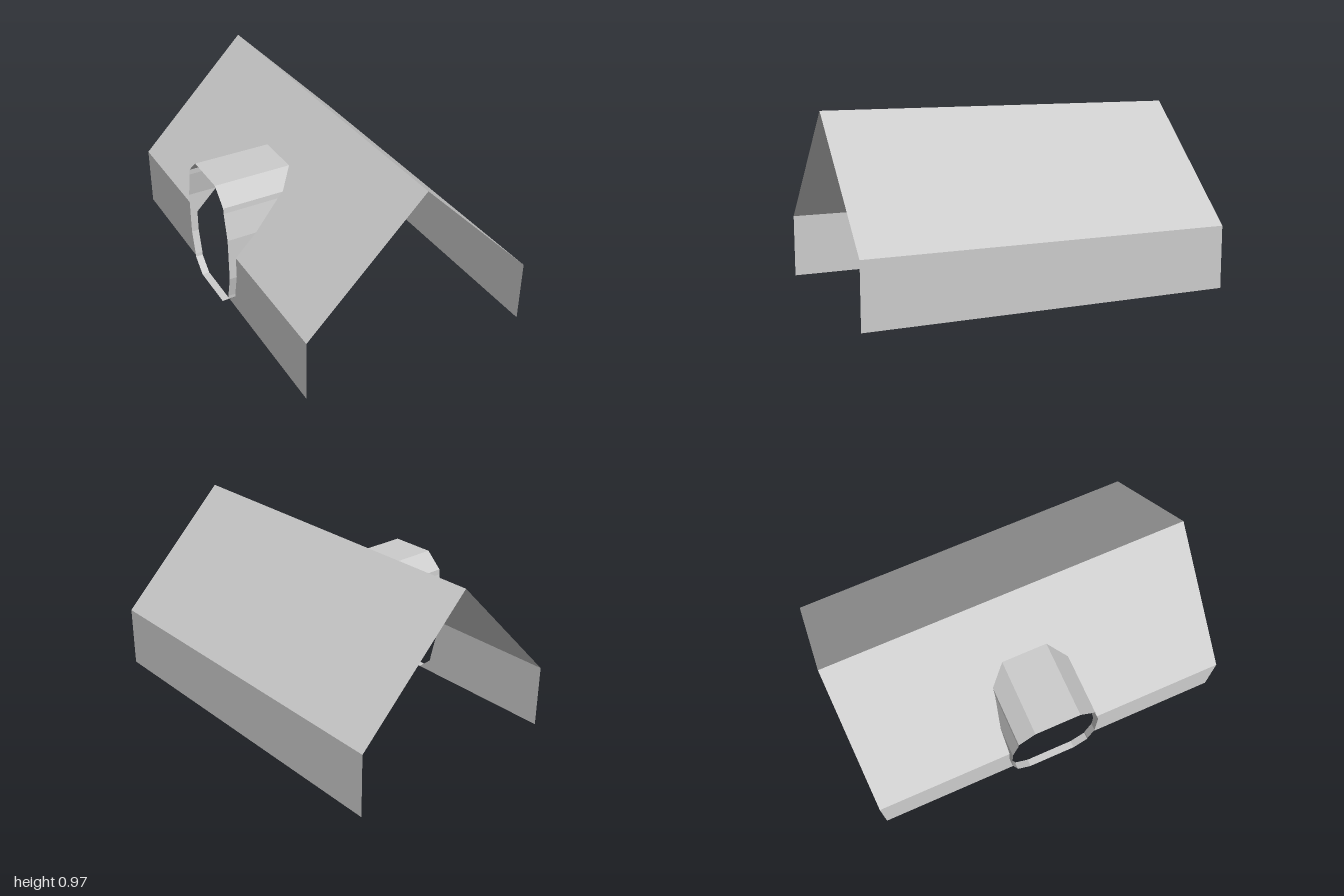
import * as THREE from 'three';

const EAVE_Y = 0.34, RIDGE_Y = 0.97, RIDGE_X = 0.015;
const LEFT_X = 0.64, RIGHT_X = -0.61, MOUTH_X = -0.65;

// Half outline of the round opening as [z, y], top to bottom
const HALF = [
  [0.125, 0.72], [0.215, 0.635], [0.217, 0.605], [0.248, 0.46], [0.248, EAVE_Y],
  [0.248, 0.22], [0.217, 0.09], [0.215, 0.07], [0.135, 0],
];
const Z0 = -0.004;
const plusSide = HALF.map(([z, y]) => [Z0 + z, y]);
const minusSide = HALF.map(([z, y]) => [Z0 - z, y]);
const EAVE_I = 4;

// x of the shell at height y: upright wall, then sloped roof up to the ridge
function shellX(y, wallX) {
  const t = Math.max(0, (y - EAVE_Y) / (RIDGE_Y - EAVE_Y));
  return wallX + (RIDGE_X - wallX) * t;
}

export function createModel() {
  const group = new THREE.Group();
  const grey = new THREE.MeshStandardMaterial({ color: 0xcccccc, side: THREE.DoubleSide, flatShading: true });
  grey.name = 'plain grey';

  // Flat panel outlined in (z, y) and laid onto one side of the shell
  function panel(name, outline, wallX) {
    const shape = new THREE.Shape(outline.map(([z, y]) => new THREE.Vector2(z, y)));
    const geo = new THREE.ShapeGeometry(shape);
    const pos = geo.attributes.position;
    for (let i = 0; i < pos.count; i++) {
      const z = pos.getX(i), y = pos.getY(i);
      pos.setXYZ(i, shellX(y, wallX), y, z);
    }
    // Face outwards on the -x side
    if (wallX < 0) {
      const idx = geo.index.array;
      for (let i = 0; i < idx.length; i += 3) [idx[i], idx[i + 1]] = [idx[i + 1], idx[i]];
    }
    // Panels are wound by the sign of their outward side
    geo.index.array.reverse();
    geo.computeVertexNormals();
    const mesh = new THREE.Mesh(geo, grey);
    mesh.name = name;
    group.add(mesh);
  }

  // Plain side
  panel('leftWall', [[-1, 0], [1, 0], [1, EAVE_Y], [-1, EAVE_Y]], LEFT_X);
  panel('leftRoof', [[-1, EAVE_Y], [1, EAVE_Y], [1, RIDGE_Y], [-1, RIDGE_Y]], LEFT_X);

  // Side cut by the opening
  const low = (side) => side.slice(EAVE_I);
  panel('rightWallFront', [[1, 0], [1, EAVE_Y], ...low(plusSide)], RIGHT_X);
  panel('rightWallBack', [[-1, 0], [-1, EAVE_Y], ...low(minusSide)], RIGHT_X);
  panel('rightRoof', [
    [-1, EAVE_Y], ...minusSide.slice(0, EAVE_I + 1).reverse(),
    ...plusSide.slice(0, EAVE_I + 1), [1, EAVE_Y], [1, RIDGE_Y], [-1, RIDGE_Y],
  ], RIGHT_X);

  // Faceted tunnel from the upright mouth back to the shell
  const ring = [...plusSide, ...minusSide.slice().reverse()];
  const verts = [];
  ring.forEach(([z, y], i) => {
    const [z2, y2] = ring[(i + 1) % ring.length];
    const a = [MOUTH_X, y, z], b = [MOUTH_X, y2, z2];
    const c = [shellX(y2, RIGHT_X), y2, z2], d = [shellX(y, RIGHT_X), y, z];
    verts.push(...a, ...b, ...c, ...a, ...c, ...d);
  });
  const geo = new THREE.BufferGeometry();
  geo.setAttribute('position', new THREE.Float32BufferAttribute(verts, 3));
  geo.computeVertexNormals();
  const tunnel = new THREE.Mesh(geo, grey);
  tunnel.name = 'dormerTunnel';
  group.add(tunnel);

  return group;
}
